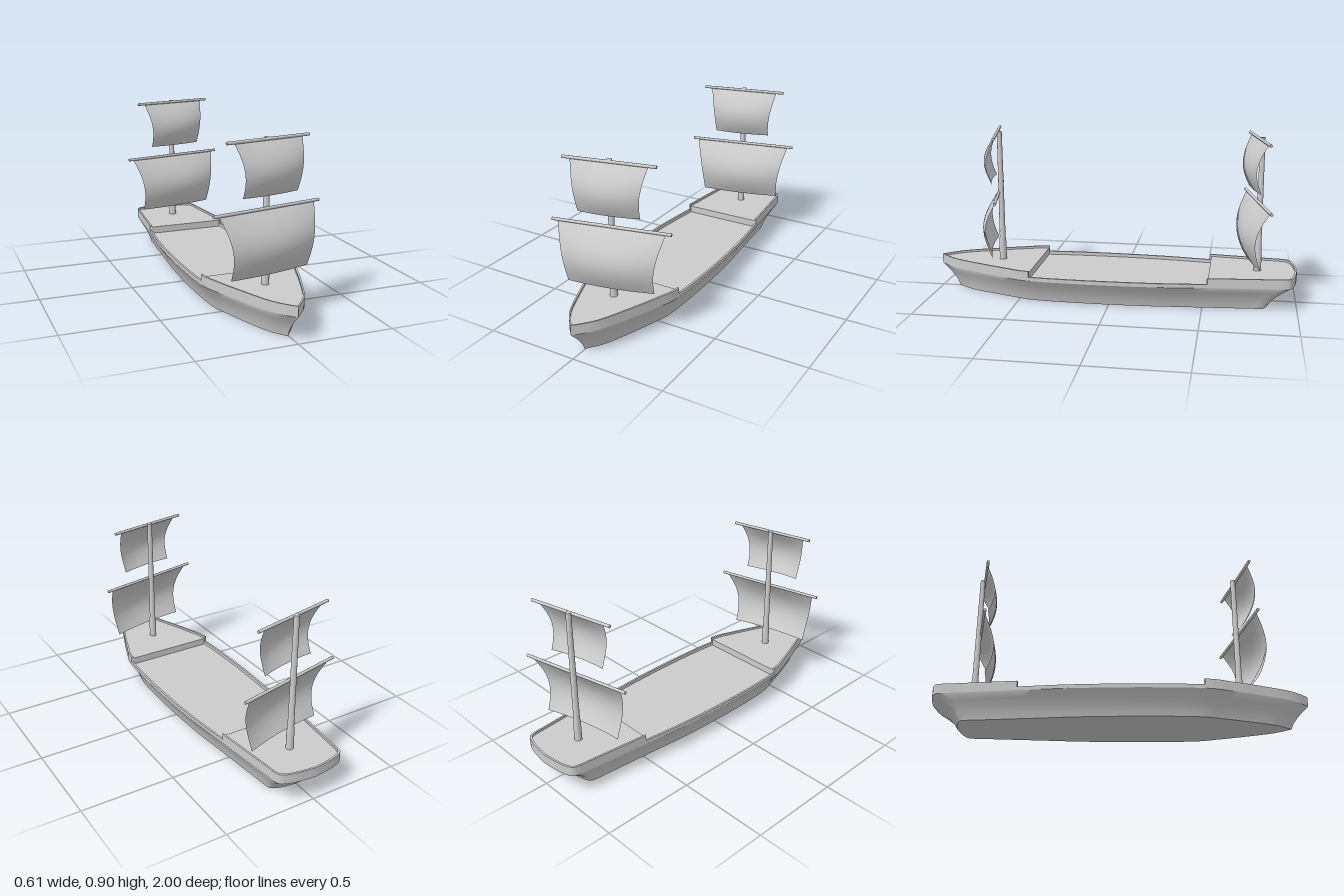
import * as THREE from 'three';
import { toCreasedNormals, mergeVertices } from 'three/addons/utils/BufferGeometryUtils.js';

const grey = new THREE.MeshStandardMaterial({ color: 0xcccccc, side: THREE.DoubleSide });

// Half outline of the hull at the rail, bow to stern: (half breadth, z)
const STEPS = 4;
const key = [
  [0, 1], [0.085, 0.895], [0.165, 0.71], [0.217, 0.57], [0.257, 0.43], [0.269, 0.1], [0.258, -0.25],
  [0.23, -0.53], [0.198, -0.85], [0.19, -0.93], [0.172, -0.965], [0.1, -0.988], [0, -1],
].map(([x, z]) => new THREE.Vector2(x, z));
const half = new THREE.SplineCurve(key).getPoints((key.length - 1) * STEPS);
const foreBreak = 4 * STEPS, aftBreak = 7 * STEPS;
const mirror = (pts) => pts.map((p) => new THREE.Vector2(-p.x, p.y));

function part(parent, name, geometry) {
  const mesh = new THREE.Mesh(geometry, grey);
  mesh.name = name;
  parent.add(mesh);
  return mesh;
}

// Vertical prism over a plan drawn in (x, z)
function prism(plan, y0, y1) {
  const shape = new THREE.Shape(plan.map((p) => new THREE.Vector2(p.x, -p.y)));
  const g = new THREE.ExtrudeGeometry(shape, { depth: y1 - y0, bevelEnabled: false });
  g.rotateX(-Math.PI / 2).translate(0, y0, 0);
  return toCreasedNormals(g, 0.6);
}

// Thin wall following a run of the outline
function rail(path, y0, y1) {
  const inner = path.map((p) => new THREE.Vector2(p.x * 0.957, p.y * 0.99));
  return prism([...path, ...inner.reverse()], y0, y1);
}

// Flared hull: the rail outline shrinks toward a flat bottom
function hullGeometry() {
  const ring = [...half, ...mirror(half.slice(1, -1)).reverse()];
  const levels = [[0, null], [0, 0], [0.03, 0.13], [0.065, 0.37], [0.1, 0.69], [0.13, 1], [0.132, 1], [0.132, null]];
  const pos = [], idx = [], n = ring.length;
  for (const [y, s] of levels) {
    for (const p of ring) {
      if (s === null) pos.push(0, y, 0);
      else pos.push(p.x * (0.75 + 0.25 * s), y, p.y * (0.88 + 0.12 * s) + 0.02 * (1 - s));
    }
  }
  for (let i = 0; i < levels.length - 1; i++) {
    for (let j = 0; j < n; j++) {
      const a = i * n + j, b = i * n + (j + 1) % n;
      if (levels[i][1] !== null) idx.push(a, b, b + n);
      if (levels[i + 1][1] !== null) idx.push(a, b + n, a + n);
      else continue;
    }
  }
  // The closing fans keep one triangle per side
  const g = new THREE.BufferGeometry();
  g.setAttribute('position', new THREE.Float32BufferAttribute(pos, 3));
  g.setIndex(idx);
  return toCreasedNormals(g, 0.6);
}

// Billowing sail hanging from its yard at y = 0
function sailGeometry(wide, tall) {
  const g = new THREE.PlaneGeometry(2, 1, 20, 20);
  const p = g.attributes.position;
  for (let i = 0; i < p.count; i++) {
    const u = p.getX(i), t = 0.5 - p.getY(i);
    const width = wide * (0.23 + 0.053 * (1 - t) ** 2);
    const edge = 0.047 * Math.sin(Math.PI * t) + 0.025 * t;
    const belly = 0.029 * (1 - u * u) * Math.sin(Math.PI * 0.8 * t);
    p.setXYZ(i, u * width, -t * 0.315 * tall, tall * (edge + belly));
  }
  g.computeVertexNormals();
  return g;
}

function spar(parent, y, halfLength, wide, tall) {
  const yard = new THREE.CylinderGeometry(0.008, 0.008, halfLength * 2, 16).rotateZ(Math.PI / 2);
  part(parent, 'yard', yard).position.y = y;
  part(parent, 'sail', sailGeometry(wide, tall)).position.y = y - 0.003;
}

function createMast(name, z) {
  const group = new THREE.Group();
  group.name = name;
  group.position.z = z;
  const profile = [[0, 0.16], [0.02, 0.16], [0.0195, 0.27], [0.0165, 0.3], [0.0135, 0.9], [0, 0.9]];
  const pole = new THREE.LatheGeometry(profile.map(([r, y]) => new THREE.Vector2(r, y)), 20);
  part(group, 'mast', toCreasedNormals(pole, 0.6));

  // Yards and sails swing together around the mast
  const rig = new THREE.Group();
  rig.name = 'rigging';
  rig.rotation.y = 0.213;
  rig.position.set(0.004, 0, 0.013);
  spar(rig, 0.557, 0.312, 1, 1);
  spar(rig, 0.892, 0.24, 0.705, 0.83);
  group.add(rig);
  return group;
}

export function createModel() {
  const ship = new THREE.Group();
  ship.name = 'sailingShip';
  const body = new THREE.Group();
  body.name = 'body';
  body.position.x = -0.004;
  ship.add(body);

  part(body, 'hull', hullGeometry());

  // Raised decks at both ends with their bulwarks
  const bow = half.slice(0, foreBreak + 1);
  const stern = half.slice(aftBreak);
  const bowPath = [...mirror(bow.slice(1)).reverse(), ...bow];
  const sternPath = [...stern, ...mirror(stern.slice(0, -1)).reverse()];
  for (const [name, path] of [['fore', bowPath], ['aft', sternPath]]) {
    part(body, name + 'Deck', prism(path, 0.13, 0.171));
    part(body, name + 'Bulwark', rail(path, 0.13, 0.183));
  }

  // Low bulwarks amidships
  const waist = half.slice(foreBreak, aftBreak + 1);
  part(body, 'leftBulwark', rail(waist, 0.13, 0.151));
  part(body, 'rightBulwark', rail(mirror(waist), 0.13, 0.151));

  body.add(createMast('foreMast', 0.64), createMast('aftMast', -0.788));
  return ship;
}
